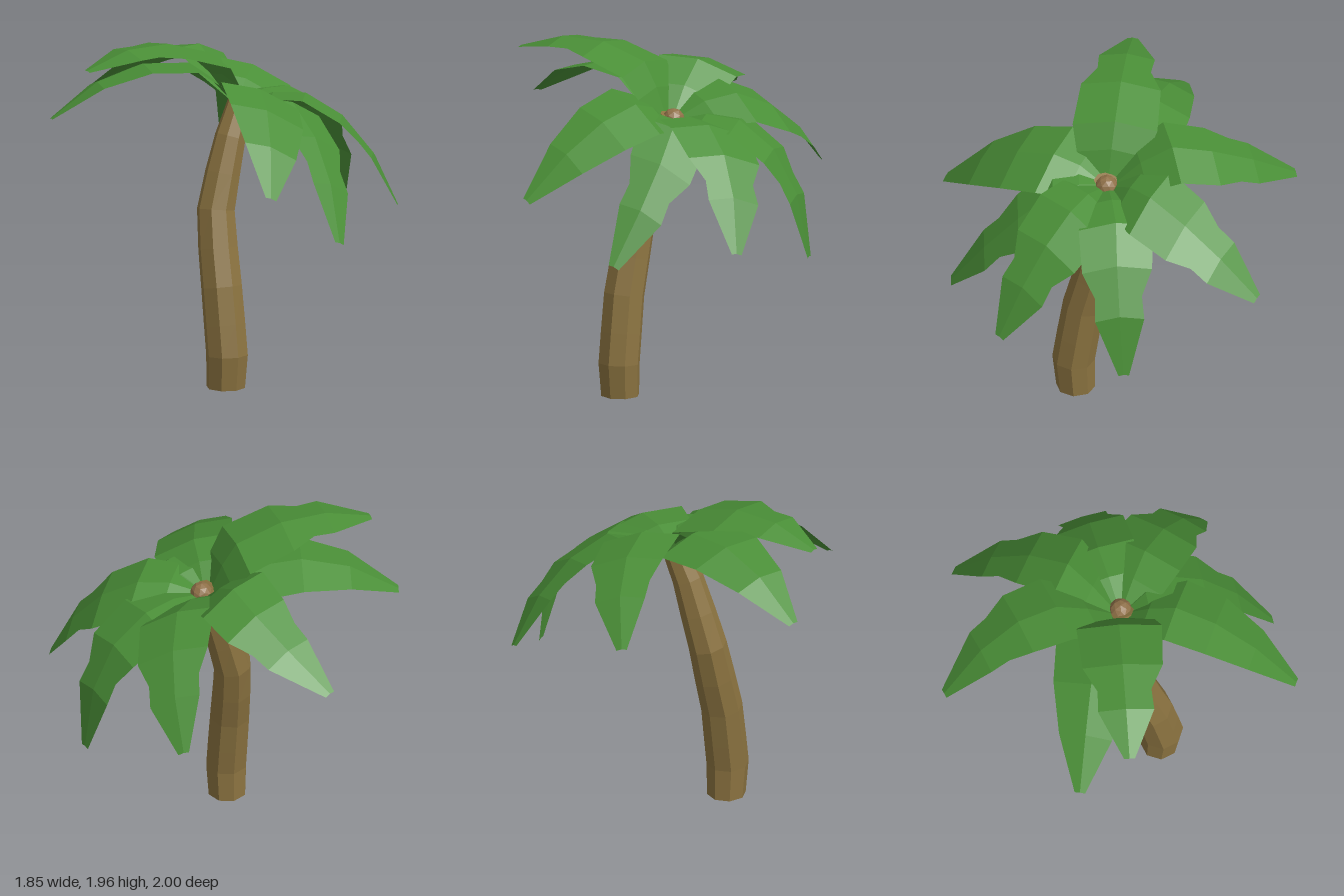
import * as THREE from 'three';

const V = (x, y, z) => new THREE.Vector3(x, y, z);
const bark = new THREE.MeshStandardMaterial({ color: 0x8b7340, flatShading: true });
const budMat = new THREE.MeshStandardMaterial({ color: 0x8f7048, flatShading: true });
const green = new THREE.MeshStandardMaterial({ color: 0x4a8f37, flatShading: true, side: THREE.DoubleSide });

// Joins equal-length rows of points into a faceted skin
function skin(rows, closed) {
  const pos = [], n = rows[0].length;
  const tri = (...pts) => pts.forEach(p => pos.push(p.x, p.y, p.z));
  for (let i = 0; i < rows.length - 1; i++) {
    for (let j = 0; j < (closed ? n : n - 1); j++) {
      const k = (j + 1) % n;
      const a = rows[i][j], b = rows[i][k], c = rows[i + 1][k], d = rows[i + 1][j];
      tri(a, b, c);
      tri(a, c, d);
    }
  }
  if (closed) { // end caps
    const last = rows[rows.length - 1];
    for (let j = 1; j < n - 1; j++) {
      tri(rows[0][0], rows[0][j + 1], rows[0][j]);
      tri(last[0], last[j], last[j + 1]);
    }
  }
  const g = new THREE.BufferGeometry();
  g.setAttribute('position', new THREE.Float32BufferAttribute(pos, 3));
  g.computeVertexNormals();
  return g;
}

// Trunk: tapering eight-sided rings set square to a bending path
function makeTrunk() {
  const path = new THREE.CatmullRomCurve3([
    V(-0.08, 0, 0.235), V(-0.08, 0.19, 0.247), V(-0.08, 0.36, 0.222),
    V(-0.08, 0.57, 0.19), V(-0.07, 0.78, 0.137), V(-0.055, 0.99, 0.09),
    V(0, 1.19, 0.073), V(0.06, 1.39, 0.06), V(0.145, 1.59, 0.04),
  ], false, 'catmullrom');
  const rows = path.points.map((p, i) => {
    const t = i / 8;
    const up = i ? path.getTangent(t) : V(0, 1, 0);
    const u = V(1, 0, 0).addScaledVector(up, -up.x).normalize();
    const w = u.clone().cross(up);
    const r = i ? 0.12 - 0.047 * t ** 3 : 0.11;
    return Array.from({ length: 8 }, (_, j) => {
      const a = -j * Math.PI / 4;
      return p.clone().addScaledVector(u, r * Math.cos(a)).addScaledVector(w, r * Math.sin(a));
    });
  });
  return new THREE.Mesh(skin(rows, true), bark);
}

const crown = V(0.14, 1.58, 0.03);

// Frond: creased blade from the crown over a shoulder to the tip.
// bowX and arch bend the spine sideways and upward, bank rolls the blade,
// nick cuts into both edges.
function makeFrond({ shoulder, tip, bowX, arch, width, bank, nick }) {
  const start = V(...shoulder), end = V(...tip);
  const dir = end.clone().sub(crown).setY(0).normalize();
  const side = V(dir.z, 0, -dir.x);
  const root = crown.clone().addScaledVector(dir, 0.04);
  const spine = [root, root.clone().lerp(start, 0.45).add(V(0, 0.03, 0))];
  for (let i = 0; i <= 3; i++) {
    const t = i / 3, bend = 4 * t * (1 - t);
    spine.push(start.clone().lerp(end, t).add(V(bowX * bend, arch * bend, 0)));
  }
  const half = [0.03, 0.82 * width, width, 0.94 * width, 0.66 * width, 0.03];
  const rows = spine.map((m, i) => {
    const edge = s => m.clone().addScaledVector(side, s * half[i])
      .add(V(0, (s * bank - 0.18) * half[i], 0));
    return [edge(-1), m, edge(1)];
  });
  const cut = rows[3].map((p, j) => p.clone().lerp(rows[4][j], 0.55));
  cut[0].lerp(cut[1], nick);
  cut[2].lerp(cut[1], nick);
  rows.splice(4, 0, cut);
  return new THREE.Mesh(skin(rows, false), green);
}

const fronds = [
  // Right side, highest
  { shoulder: [-0.05, 1.88, 0.01], tip: [-0.85, 1.875, 0], bowX: 0, arch: 0.095, width: 0.24, bank: 0, nick: 0.2 },
  { shoulder: [-0.1, 1.8, -0.12], tip: [-0.91, 1.55, -0.285], bowX: 0, arch: 0.115, width: 0.23, bank: 0.15, nick: 0 },
  // Back
  { shoulder: [0.1, 1.84, -0.33], tip: [-0.23, 1.48, -0.99], bowX: 0.065, arch: 0.08, width: 0.22, bank: 0.25, nick: 0.1 },
  { shoulder: [0.4, 1.7, -0.24], tip: [0.6, 1.2, -0.865], bowX: 0.045, arch: 0.075, width: 0.21, bank: 0.42, nick: 0.15 },
  // Left side, drooping lowest
  { shoulder: [0.52, 1.6, -0.06], tip: [0.92, 0.84, -0.15], bowX: 0.08, arch: 0.115, width: 0.21, bank: 0, nick: 0.2 },
  // Front
  { shoulder: [0.47, 1.62, 0.2], tip: [0.855, 1, 0.56], bowX: 0.045, arch: 0.09, width: 0.23, bank: -0.2, nick: 0.2 },
  { shoulder: [0.31, 1.61, 0.32], tip: [0.255, 0.925, 0.9], bowX: 0.05, arch: 0.07, width: 0.19, bank: -0.4, nick: 0.2 },
  { shoulder: [0.08, 1.72, 0.34], tip: [-0.255, 1.265, 0.99], bowX: 0.025, arch: 0.095, width: 0.22, bank: -0.4, nick: 0 },
];

export function createModel() {
  const model = new THREE.Group();
  model.name = 'palmTree';

  const trunk = makeTrunk();
  trunk.name = 'trunk';
  model.add(trunk);

  // Rounded bud at the heart of the crown
  const bud = new THREE.Mesh(new THREE.IcosahedronGeometry(0.065, 1), budMat);
  bud.name = 'crownBud';
  bud.position.set(0.15, 1.575, 0.035);
  model.add(bud);

  const leaves = new THREE.Group();
  leaves.name = 'fronds';
  fronds.forEach((f, i) => {
    const leaf = makeFrond(f);
    leaf.name = `frond${i + 1}`;
    leaves.add(leaf);
  });
  model.add(leaves);
  return model;
}
